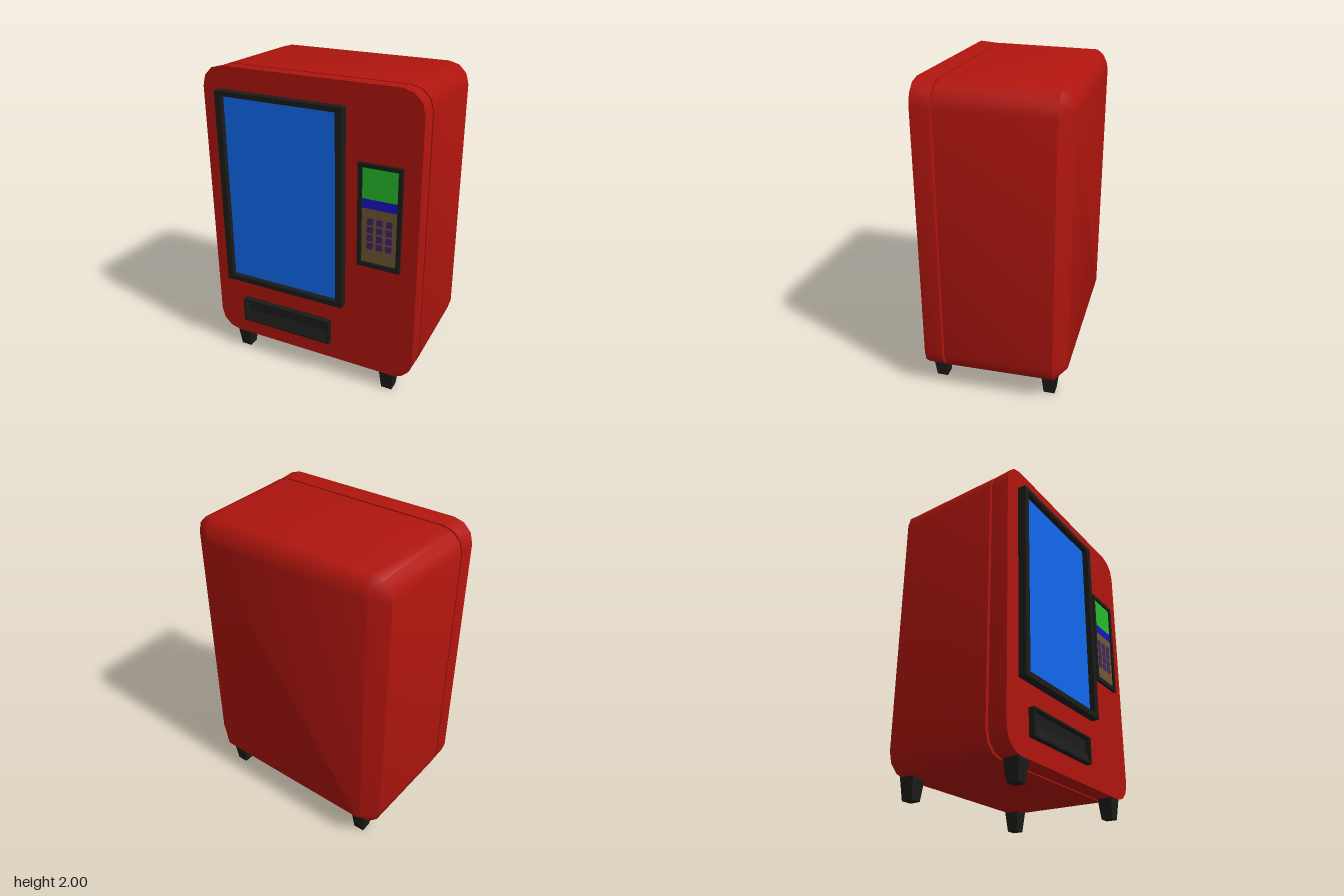
import * as THREE from 'three';
import { toCreasedNormals } from 'three/addons/utils/BufferGeometryUtils.js';

const mat = (color) => new THREE.MeshStandardMaterial({ color });

// Rounded-rectangle outline, counter-clockwise seen from +z
function outline(w, y0, y1, r) {
  const pts = [];
  const corners = [[w - r, y1 - r], [-w + r, y1 - r], [-w + r, y0 + r], [w - r, y0 + r]];
  corners.forEach(([cx, cy], i) => {
    for (let k = 0; k <= 3; k++) {
      const a = (i + k / 3) * Math.PI / 2;
      pts.push(new THREE.Vector2(cx + r * Math.cos(a), cy + r * Math.sin(a)));
    }
  });
  return pts;
}

// Closed solid through rings of equal point count, ordered front to back
function loft(rings) {
  const pos = [], idx = [], n = rings[0].pts.length, last = rings.length - 1;
  rings.forEach(({ z, pts }) => pts.forEach((p) => pos.push(p.x, p.y, z)));
  for (let j = 0; j < last; j++) {
    for (let i = 0; i < n; i++) {
      const a = j * n + i, b = j * n + (i + 1) % n;
      idx.push(a, a + n, b, b, a + n, b + n);
    }
  }
  for (let i = 1; i < n - 1; i++) {
    idx.push(0, i, i + 1);
    idx.push(last * n, last * n + i + 1, last * n + i);
  }
  const g = new THREE.BufferGeometry();
  g.setAttribute('position', new THREE.Float32BufferAttribute(pos, 3));
  g.setIndex(idx);
  return toCreasedNormals(g, 0.7);
}

// Rectangular frame with an opening; o and i are [x0, x1, y0, y1]
function frameGeometry(o, i, z0, z1) {
  const rect = ([x0, x1, y0, y1]) => [[x0, y0], [x1, y0], [x1, y1], [x0, y1]].map((p) => new THREE.Vector2(...p));
  const shape = new THREE.Shape(rect(o));
  shape.holes.push(new THREE.Path(rect(i).reverse()));
  return new THREE.ExtrudeGeometry(shape, { depth: z1 - z0, bevelEnabled: false }).translate(0, 0, z0);
}

const block = ([x0, x1, y0, y1], z0, z1) =>
  new THREE.BoxGeometry(x1 - x0, y1 - y0, z1 - z0).translate((x0 + x1) / 2, (y0 + y1) / 2, (z0 + z1) / 2);

export function createModel() {
  const model = new THREE.Group();
  const red = mat(0xb0150e), black = mat(0x1b1c1a), blue = mat(0x1068ee);
  const green = mat(0x27b82b), navy = mat(0x1712bd), brown = mat(0x705632), purple = mat(0x3d2563);
  const add = (name, geometry, material, parent = model) => {
    const mesh = new THREE.Mesh(geometry, material);
    mesh.name = name;
    parent.add(mesh);
    return mesh;
  };

  // Cabinet: slightly tapered, rounded towards the back
  add('cabinet', loft([
    { z: 0.29, pts: outline(0.715, 0.13, 1.99, 0.135) },
    { z: -0.4, pts: outline(0.7, 0.13, 1.98, 0.135) },
    { z: -0.437, pts: outline(0.64, 0.165, 1.955, 0.085) },
    { z: -0.464, pts: outline(0.6, 0.195, 1.905, 0.04) },
    { z: -0.475, pts: outline(0.58, 0.21, 1.86, 0.01) },
  ]), red);

  // Door, separated from the cabinet by a narrow gap
  add('door', loft([
    { z: 0.422, pts: outline(0.713, 0.13, 2.0, 0.135) },
    { z: 0.304, pts: outline(0.713, 0.13, 1.99, 0.135) },
  ]), red);

  // Display window
  const display = new THREE.Group();
  display.name = 'displayWindow';
  model.add(display);
  add('windowFrame', frameGeometry([-0.6, 0.25, 0.57, 1.86], [-0.56, 0.207, 0.605, 1.83], 0.42, 0.475), black, display);
  add('windowGlass', block([-0.56, 0.2, 0.605, 1.83], 0.41, 0.44), blue, display);

  // Control panel with screen, card strip and keypad
  const panel = new THREE.Group();
  panel.name = 'controlPanel';
  model.add(panel);
  add('panelFrame', frameGeometry([0.335, 0.61, 0.89, 1.55], [0.36, 0.585, 0.92, 1.525], 0.42, 0.442), black, panel);
  add('screen', block([0.36, 0.585, 1.33, 1.525], 0.41, 0.43), green, panel);
  add('cardStrip', block([0.36, 0.585, 1.27, 1.33], 0.41, 0.43), navy, panel);
  add('keypadPlate', block([0.36, 0.585, 0.92, 1.27], 0.41, 0.43), brown, panel);
  for (let row = 0; row < 4; row++) {
    for (let col = 0; col < 3; col++) {
      const x = 0.414 + col * 0.06, y = 1.19 - row * 0.053;
      add('key', block([x - 0.02, x + 0.02, y - 0.021, y + 0.021], 0.42, 0.434), purple, panel);
    }
  }

  // Delivery tray: shallow frame around a tilted flap
  const tray = new THREE.Group();
  tray.name = 'deliveryTray';
  model.add(tray);
  add('trayFrame', frameGeometry([-0.5, 0.15, 0.255, 0.425], [-0.485, 0.135, 0.268, 0.412], 0.42, 0.46), black, tray);
  add('trayBack', block([-0.485, 0.135, 0.268, 0.412], 0.41, 0.426), black, tray);
  const flap = add('trayFlap', new THREE.BoxGeometry(0.6, 0.065, 0.012), black, tray);
  flap.position.set(-0.175, 0.298, 0.44);
  flap.rotation.x = -0.35;

  // Four tapered feet
  const foot = new THREE.CylinderGeometry(0.053 * Math.SQRT2, 0.036 * Math.SQRT2, 0.16, 4).toNonIndexed();
  foot.rotateY(Math.PI / 4);
  foot.computeVertexNormals();
  for (const x of [-0.54, 0.54]) {
    for (const z of [-0.36, 0.365]) add('foot', foot, black).position.set(x, 0.08, z);
  }
  return model;
}
